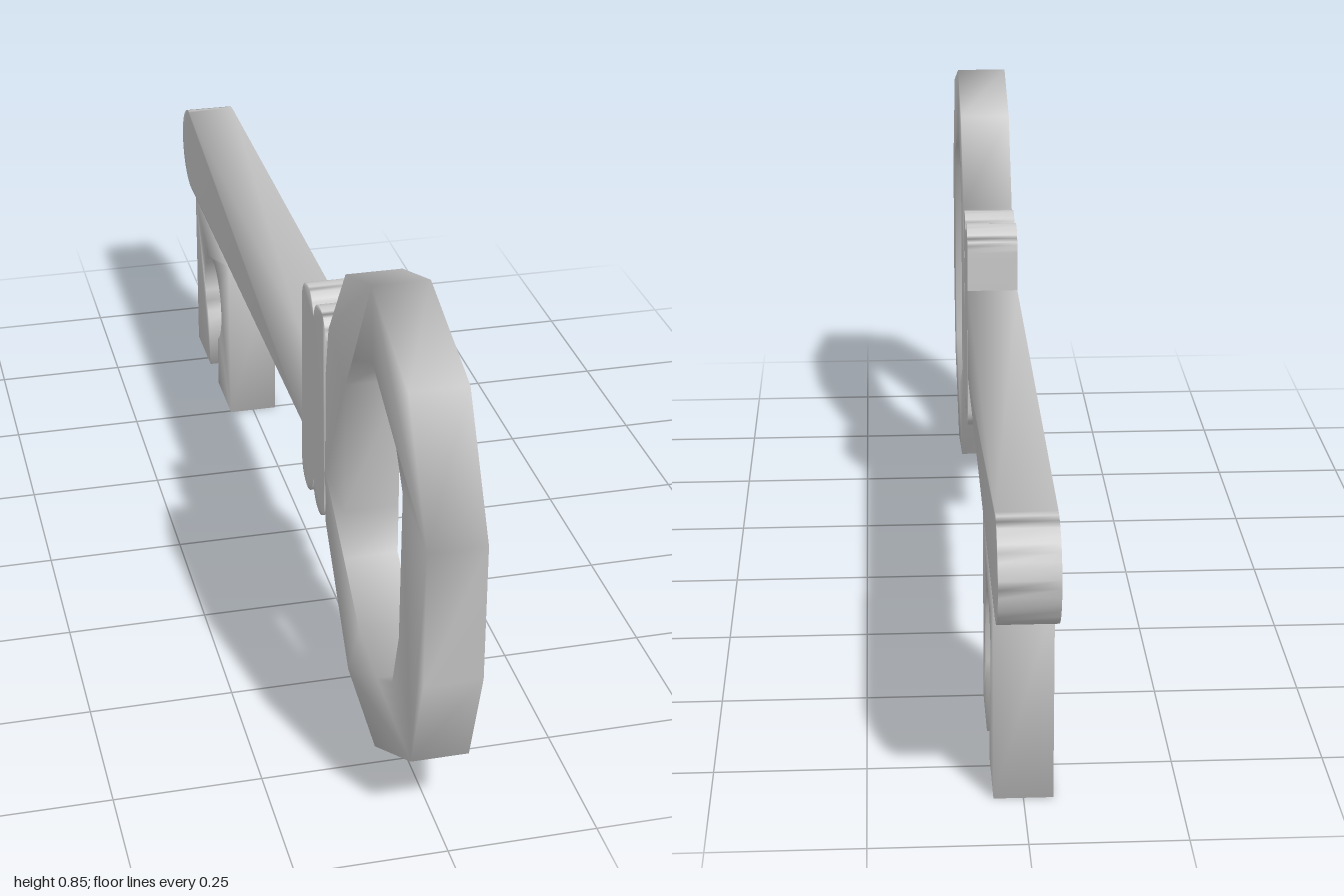
import * as THREE from 'three';
import { mergeVertices } from 'three/addons/utils/BufferGeometryUtils.js';

const THICKNESS = 0.096;
const material = new THREE.MeshStandardMaterial({ color: 0xcccccc });

const points = (list) => list.map(([z, y]) => new THREE.Vector2(z, y));

// Extrude a (z, y) outline across x, with normals blended over the edges
function plate(name, shape) {
  let geometry = new THREE.ExtrudeGeometry(shape, { depth: THICKNESS, bevelEnabled: false, curveSegments: 10 });
  geometry.translate(0, 0, -THICKNESS / 2);
  geometry.rotateY(-Math.PI / 2);
  geometry.deleteAttribute('normal');
  geometry.deleteAttribute('uv');
  geometry = mergeVertices(geometry, 1e-4);
  geometry.computeVertexNormals();
  const mesh = new THREE.Mesh(geometry, material);
  mesh.name = name;
  return mesh;
}

// Faceted oval handle ring
function bowShape() {
  const shape = new THREE.Shape(points([
    [0.656, 0.845], [0.49, 0.787], [0.375, 0.63], [0.355, 0.53], [0.355, 0.34], [0.36, 0.24],
    [0.533, 0.04], [0.72, 0.01], [0.94, 0.14], [1, 0.325], [1, 0.565], [0.88, 0.775],
  ]));
  shape.holes.push(new THREE.Path(points([
    [0.67, 0.715], [0.545, 0.66], [0.495, 0.585], [0.495, 0.34], [0.495, 0.245], [0.605, 0.17],
    [0.725, 0.153], [0.82, 0.21], [0.855, 0.32], [0.86, 0.587], [0.817, 0.645],
  ])));
  return shape;
}

// Two rounded ribs side by side, joined in one outline
function collarShape() {
  const r = 0.045, low = 0.275, high = 0.595;
  const shape = new THREE.Shape();
  shape.moveTo(0.175, low);
  for (const z of [0.22, 0.31]) shape.absarc(z, low, r, Math.PI, Math.PI * 2, false);
  shape.lineTo(0.345, 0.33);
  shape.lineTo(0.355, 0.35);
  shape.lineTo(0.355, 0.52);
  shape.lineTo(0.345, 0.54);
  for (const z of [0.31, 0.22]) shape.absarc(z, high, r, 0, Math.PI, false);
  return shape;
}

// Straight bar with a rounded tip
function shankShape() {
  const shape = new THREE.Shape();
  shape.moveTo(0.175, 0.342);
  shape.lineTo(0.175, 0.52);
  shape.lineTo(-0.911, 0.52);
  shape.absarc(-0.911, 0.431, 0.089, Math.PI / 2, Math.PI * 1.5, false);
  return shape;
}

// Square bit with a round opening and a slot through its lower edge
function bitShape() {
  const z = -0.675, y = 0.185, r = 0.09, half = 0.045;
  const a = Math.asin(half / r);
  const shape = new THREE.Shape();
  shape.moveTo(-0.495, 0);
  shape.lineTo(-0.495, 0.342);
  shape.lineTo(-0.857, 0.342);
  shape.lineTo(-0.857, 0);
  shape.lineTo(z - half, 0);
  shape.absarc(z, y, r, -Math.PI / 2 - a, -Math.PI / 2 + a, true);
  shape.lineTo(z + half, 0);
  return shape;
}

export function createModel() {
  const key = new THREE.Group();
  key.name = 'key';
  key.add(
    plate('bow', bowShape()),
    plate('collar', collarShape()),
    plate('shank', shankShape()),
    plate('bit', bitShape()),
  );
  return key;
}
